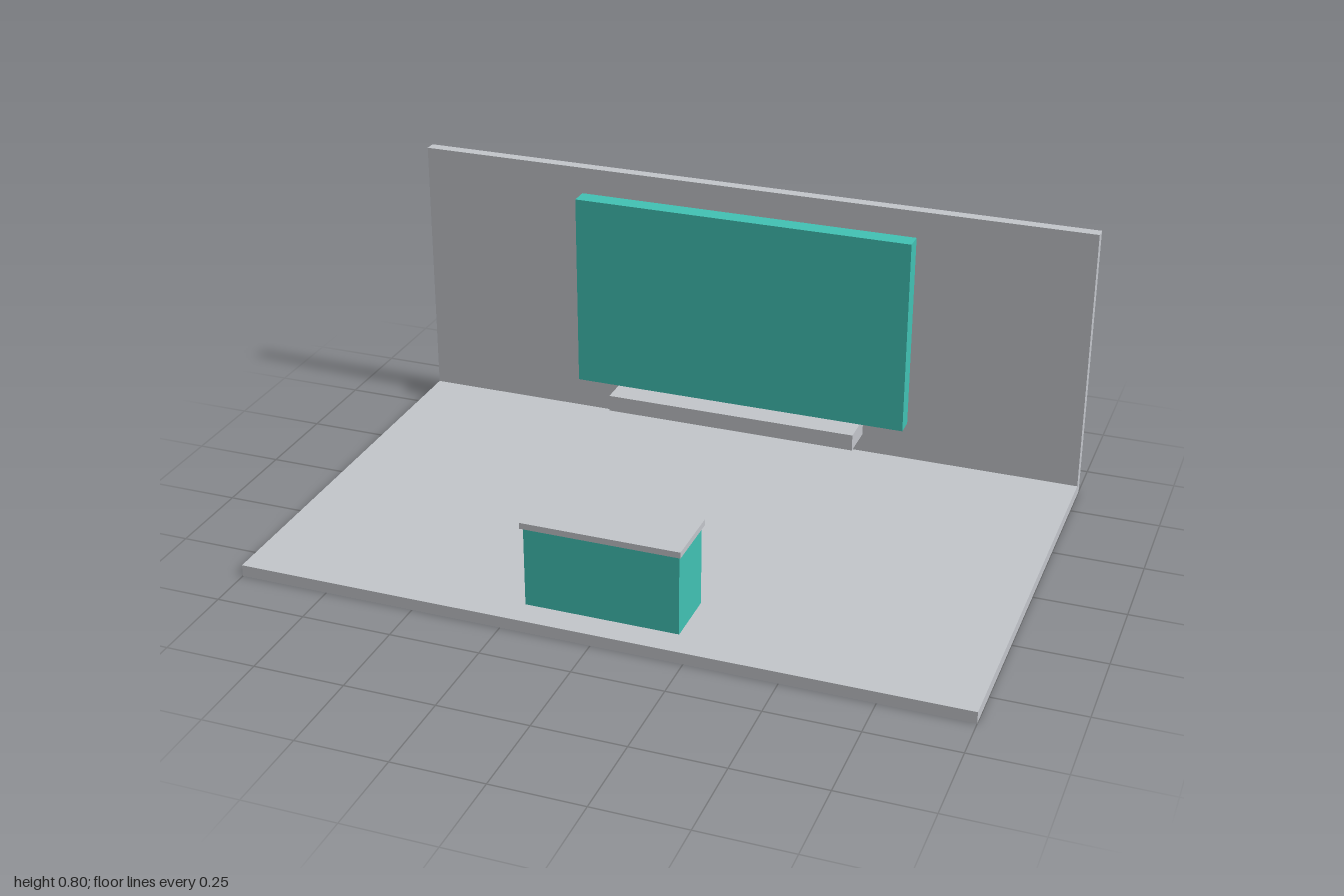
import * as THREE from 'three';

export function createModel() {
  const group = new THREE.Group();
  const grey = new THREE.MeshStandardMaterial({ color: 0xc2c5ca });
  grey.name = 'light grey';
  const teal = new THREE.MeshStandardMaterial({ color: 0x41c1b3 });
  teal.name = 'teal';

  // Box centred on x, given its width and its y and z ranges
  function addBox(name, material, width, [y0, y1], [z0, z1]) {
    const mesh = new THREE.Mesh(new THREE.BoxGeometry(width, y1 - y0, z1 - z0), material);
    mesh.name = name;
    mesh.position.set(0, (y0 + y1) / 2, (z0 + z1) / 2);
    group.add(mesh);
  }

  // Room shell
  addBox('floor', grey, 2, [0, 0.033], [-0.589, 0.622]);
  addBox('backWall', grey, 2, [0, 0.8], [-0.622, -0.589]);

  // Wall display with the shelf below it
  addBox('displayPanel', teal, 1, [0.152, 0.727], [-0.576, -0.522]);
  addBox('shelf', grey, 0.746, [0.103, 0.151], [-0.559, -0.449]);

  // Counter
  addBox('counterBody', teal, 0.423, [0.033, 0.26], [0.379, 0.543]);
  addBox('counterTop', grey, 0.436, [0.26, 0.277], [0.372, 0.552]);

  return group;
}
